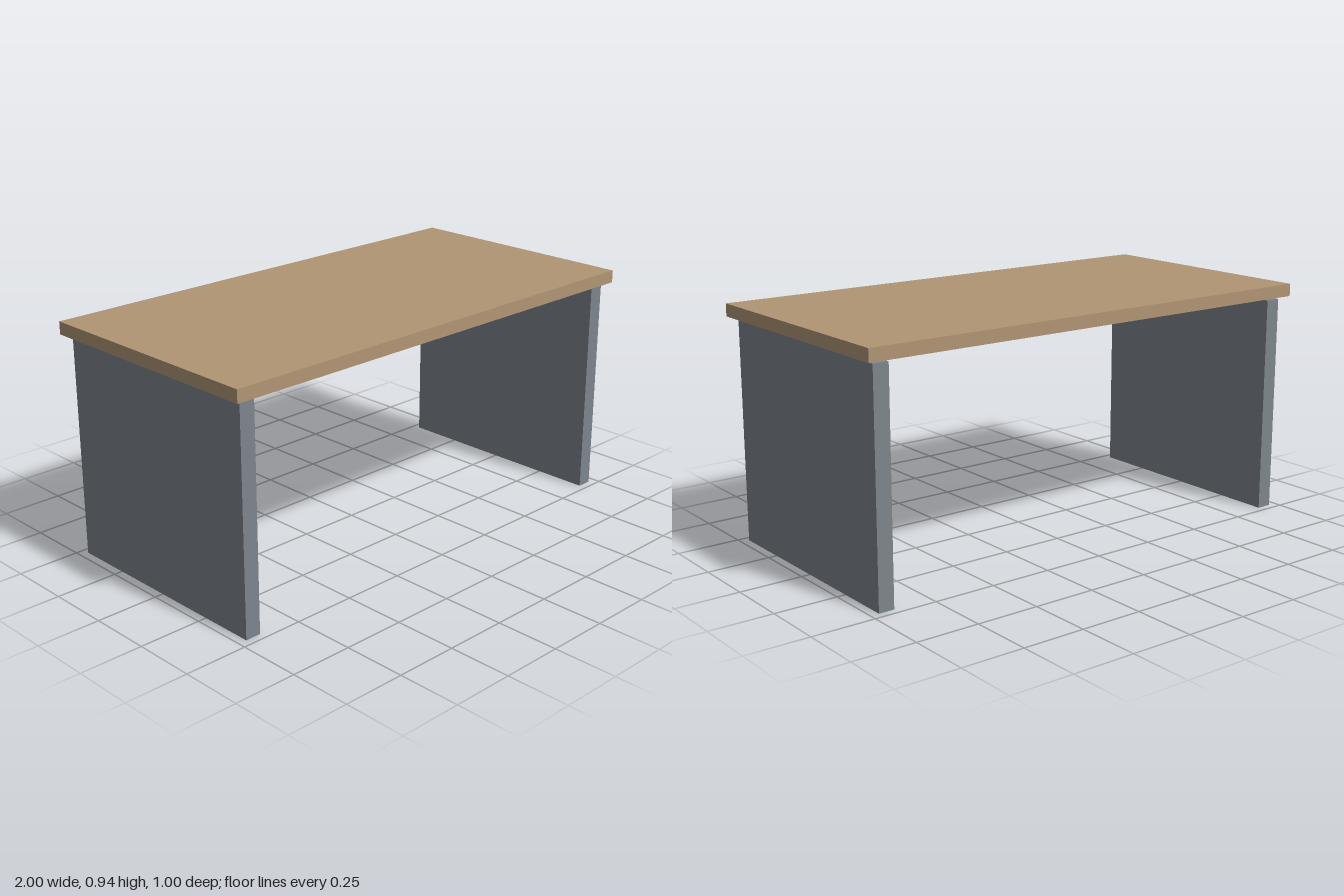
import * as THREE from 'three';

export function createModel() {
  const wood = new THREE.MeshStandardMaterial({ name: 'wood', color: 0xb09574 });
  const greyMetal = new THREE.MeshStandardMaterial({ name: 'greyMetal', color: 0x7d858d });

  const table = new THREE.Group();
  table.name = 'table';

  // Box standing on height y
  const addBox = (name, material, [w, h, d], x, y) => {
    const mesh = new THREE.Mesh(new THREE.BoxGeometry(w, h, d), material);
    mesh.name = name;
    mesh.position.set(x, y + h / 2, 0);
    table.add(mesh);
  };

  // Table top, floating just above the legs
  addBox('tableTop', wood, [2, 0.05, 1], 0, 0.8885);

  // Panel legs, inset from the ends
  for (const side of [-1, 1]) {
    addBox(side > 0 ? 'leftLeg' : 'rightLeg', greyMetal, [0.0625, 0.876, 0.94], side * 0.935, 0);
  }

  return table;
}
